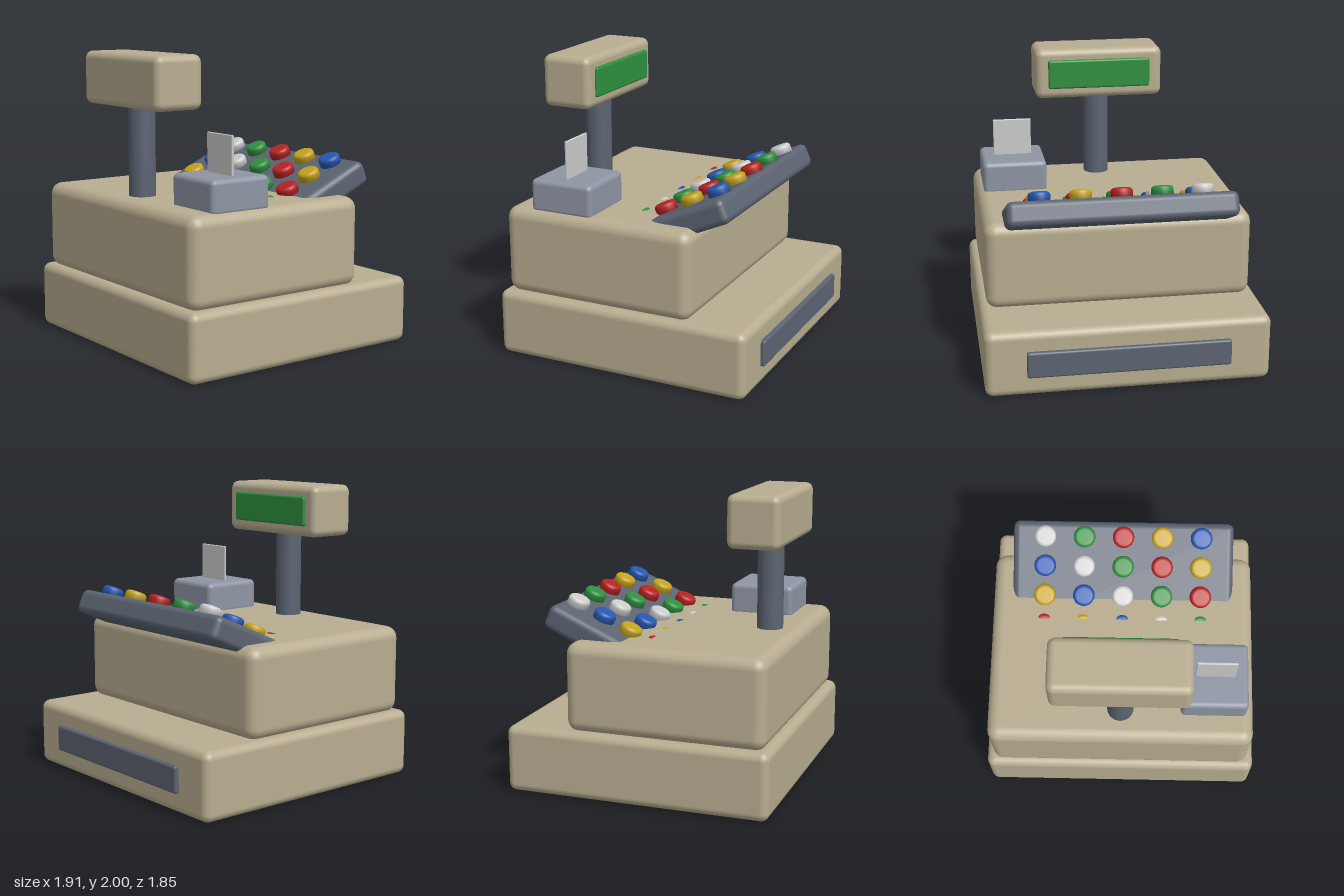
import * as THREE from 'three';
import { RoundedBoxGeometry } from 'three/addons/geometries/RoundedBoxGeometry.js';

const mat = (color) => new THREE.MeshStandardMaterial({ color });
const beige = mat(0xb8ad90), slate = mat(0x5c6472), steel = mat(0x8e95a3), paperGrey = mat(0xcccccc);
const keyColors = [paperGrey, mat(0x2f8f3f), mat(0xb82222), mat(0xc4a31c), mat(0x2558b0)];

// Rounded box given by its extents [min, max] on each axis
function block(name, [x0, x1], [y0, y1], [z0, z1], radius, material) {
  const geo = new RoundedBoxGeometry(x1 - x0, y1 - y0, z1 - z0, 4, radius);
  const mesh = new THREE.Mesh(geo, material);
  mesh.name = name;
  mesh.position.set((x0 + x1) / 2, (y0 + y1) / 2, (z0 + z1) / 2);
  return mesh;
}

// Round key cap with a softened top edge, base at y = 0
function keyGeometry(r, h, bevel) {
  const pts = [new THREE.Vector2(0, -0.02), new THREE.Vector2(r, -0.02)];
  for (let i = 0; i <= 5; i++) {
    const a = (i / 5) * Math.PI / 2;
    pts.push(new THREE.Vector2(r - bevel + bevel * Math.cos(a), h - bevel + bevel * Math.sin(a)));
  }
  pts.push(new THREE.Vector2(0, h));
  return new THREE.LatheGeometry(pts, 32);
}

export function createModel() {
  const model = new THREE.Group();
  model.name = 'cashRegister';

  // Cabinet with cash drawer
  model.add(
    block('drawerBase', [-0.955, 0.955], [0, 0.455], [-0.895, 0.92], 0.055, beige),
    block('drawerPanel', [-0.68, 0.68], [0.14, 0.32], [-0.925, -0.865], 0.015, slate),
    block('upperBody', [-0.908, 0.908], [0.44, 1.045], [-0.485, 0.88], 0.08, beige),
  );

  // Customer display on a pole
  const pole = new THREE.Mesh(new THREE.CylinderGeometry(0.09, 0.09, 0.7, 32), slate);
  pole.name = 'displayPole';
  pole.position.set(0, 1.35, 0.653);
  model.add(
    pole,
    block('displayHead', [-0.455, 0.455], [1.643, 2], [0.47, 0.83], 0.05, beige),
    block('displayScreen', [-0.365, 0.365], [1.72, 1.925], [0.448, 0.51], 0.015, keyColors[1]),
  );

  // Receipt printer with paper strip
  model.add(
    block('receiptPrinter', [0.41, 0.86], [1.02, 1.25], [0.242, 0.695], 0.035, steel),
    block('receiptPaper', [0.5, 0.77], [1.2, 1.508], [0.463, 0.48], 0.006, paperGrey),
  );

  // Sloped keyboard, rising toward the back
  const keyboard = new THREE.Group();
  keyboard.name = 'keyboard';
  keyboard.position.set(0, 1.02, -0.292);
  keyboard.rotation.x = 0.42;
  keyboard.add(block('keyPanel', [-0.772, 0.772], [-0.085, 0.085], [-0.412, 0.412], 0.045, slate));
  const keyGeo = keyGeometry(0.075, 0.062, 0.025);
  for (let row = 0; row < 4; row++) {
    for (let col = 0; col < 5; col++) {
      const key = new THREE.Mesh(keyGeo, keyColors[(col - row + 5) % 5]);
      key.name = `key_${row}_${col}`;
      key.position.set((col - 2) * 0.2725, 0.085, (row - 1.5) * 0.205);
      keyboard.add(key);
    }
  }
  model.add(keyboard);
  return model;
}
